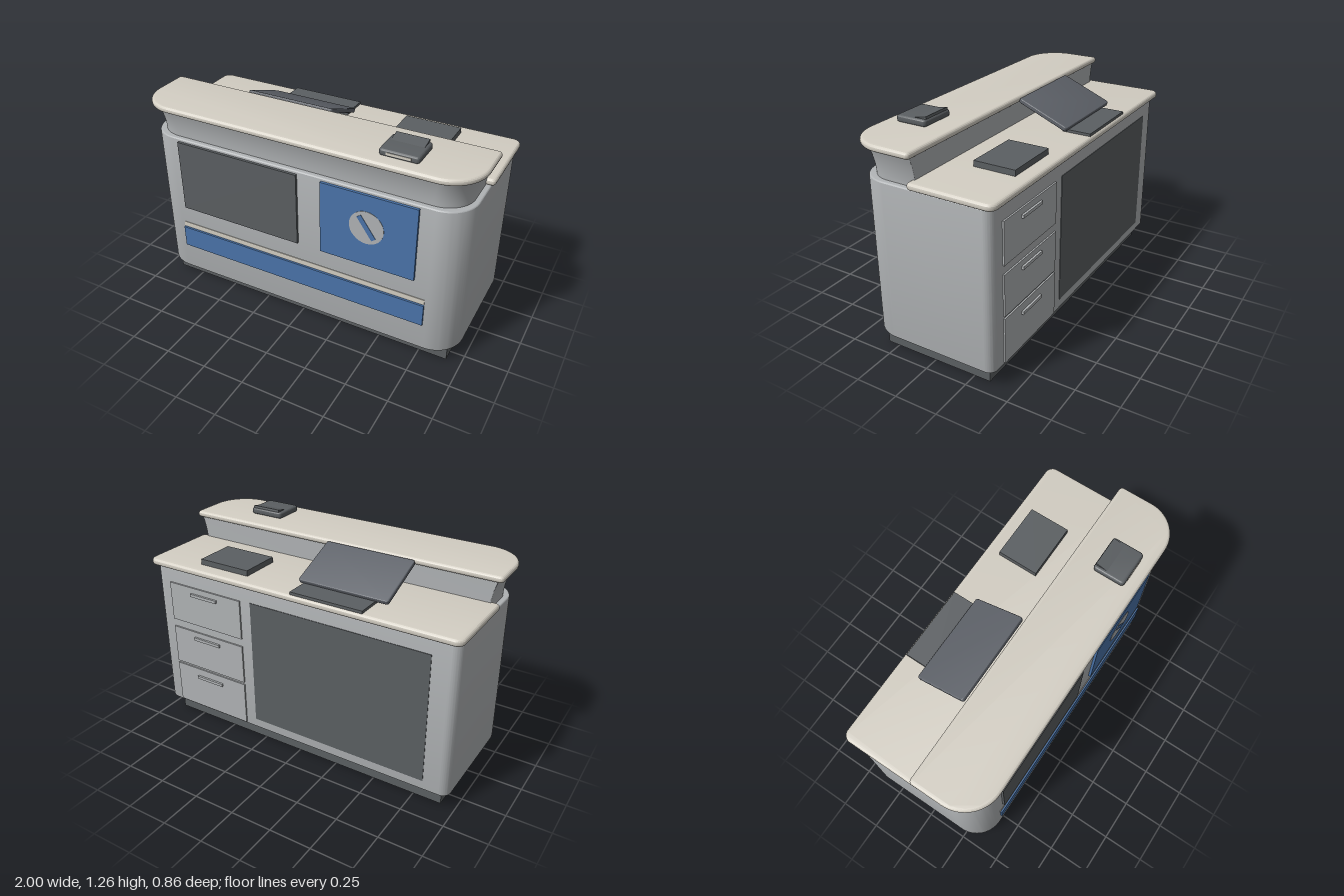
import * as THREE from 'three';
import { toCreasedNormals } from 'three/addons/utils/BufferGeometryUtils.js';

const flat = (name, color) => {
  const m = new THREE.MeshStandardMaterial({ color });
  m.name = name;
  return m;
};

export function createModel() {
  const model = new THREE.Group();
  model.name = 'serviceCounter';

  const grey = flat('cabinet grey', 0xb0b3b5);
  const cream = flat('worktop cream', 0xd3cec3);
  const blue = flat('panel blue', 0x4a74aa);
  const dark = flat('dark grey', 0x5b5f62);
  const slate = flat('screen slate', 0x5f636a);

  const add = (name, geometry, material, parent = model) => {
    const mesh = new THREE.Mesh(geometry, material);
    mesh.name = name;
    parent.add(mesh);
    return mesh;
  };

  // Box given by its limits on each axis
  const box = (name, material, [x0, x1], [y0, y1], [z0, z1], parent) => {
    const mesh = add(name, new THREE.BoxGeometry(x1 - x0, y1 - y0, z1 - z0), material, parent);
    mesh.position.set((x0 + x1) / 2, (y0 + y1) / 2, (z0 + z1) / 2);
    return mesh;
  };

  // Upright slab with its own corner radius at front and back, and a rounded rim
  const slab = (name, material, [x0, x1], [y0, y1], [z0, z1], front, back, rim, parent, steps = 1) => {
    const l = x0 + rim, r = x1 - rim, f = -z1 + rim, b = -z0 - rim;
    const s = new THREE.Shape();
    s.moveTo(l + front, f);
    s.lineTo(r - front, f);
    s.absarc(r - front, f + front, front, -Math.PI / 2, 0);
    s.lineTo(r, b - back);
    s.absarc(r - back, b - back, back, 0, Math.PI / 2);
    s.lineTo(l + back, b);
    s.absarc(l + back, b - back, back, Math.PI / 2, Math.PI);
    s.lineTo(l, f + front);
    s.absarc(l + front, f + front, front, Math.PI, Math.PI * 1.5);
    const g = new THREE.ExtrudeGeometry(s, {
      depth: y1 - y0 - 2 * rim, curveSegments: 8, steps, bevelEnabled: rim > 0,
      bevelThickness: rim, bevelSize: rim, bevelSegments: 4,
    });
    g.rotateX(-Math.PI / 2);
    g.translate(0, y0 + rim, 0);
    return add(name, toCreasedNormals(g, 0.25), material, parent);
  };

  // Open plinth frame under the cabinet
  const plinth = new THREE.Group();
  plinth.name = 'plinth';
  for (const x of [-0.915, 0.909]) box('plinthEnd', dark, [x, x + 0.006], [0, 0.1], [-0.345, 0.32], plinth);
  for (const z of [-0.345, 0.314]) box('plinthSide', dark, [-0.915, 0.915], [0, 0.1], [z, z + 0.006], plinth);
  model.add(plinth);

  // Cabinet and its stepped tops
  slab('cabinet', grey, [-0.97, 0.97], [0.095, 1.015], [-0.4, 0.397], 0.16, 0.04, 0.01);
  slab('worktop', cream, [-0.99, 0.99], [1.015, 1.055], [-0.433, 0.063], 0.004, 0.03, 0.018);
  slab('counterTop', cream, [-1, 1], [1.175, 1.213], [0.025, 0.43], 0.19, 0.004, 0.018);

  // Riser, flaring out in a shallow cove towards the counter top
  const riser = slab('riser', grey, [-0.97, 0.97], [1.01, 1.18], [0.04, 0.397], 0.17, 0.004, 0, model, 6);
  const p = riser.geometry.attributes.position;
  for (let i = 0; i < p.count; i++) {
    const t = (p.getY(i) - 1.01) / 0.17;
    const inset = 0.03 * (1 - t * t);
    p.setX(i, p.getX(i) * (1 - inset / 0.97));
    p.setZ(i, 0.04 + (p.getZ(i) - 0.04) * (1 - inset / 0.357));
  }
  riser.geometry = toCreasedNormals(riser.geometry, 0.6);

  // Front panels
  box('frontDarkPanel', dark, [-0.755, 0.02], [0.555, 0.998], [0.39, 0.412]);
  box('frontBluePanel', blue, [0.165, 0.72], [0.555, 0.998], [0.39, 0.412]);
  box('blueBand', blue, [-0.785, 0.785], [0.267, 0.402], [0.39, 0.408]);
  box('creamStrip', cream, [-0.785, 0.785], [0.41, 0.438], [0.39, 0.4]);
  const disc = add('roundPlate', new THREE.CylinderGeometry(0.1, 0.1, 0.004, 32), grey);
  disc.rotation.x = Math.PI / 2;
  disc.position.set(0.44, 0.8, 0.412);
  const bar = add('diagonalBar', new THREE.BoxGeometry(0.03, 0.155, 0.004), blue);
  bar.position.set(0.44, 0.8, 0.414);
  bar.rotation.z = 0.61;

  // Back: knee panel and a stack of drawers with handles
  box('backPanel', dark, [-0.825, 0.28], [0.155, 0.925], [-0.403, -0.39]);
  for (const [y0, y1, grip] of [[0.11, 0.375, 0.32], [0.39, 0.63, 0.588], [0.68, 0.92, 0.876]]) {
    const drawer = new THREE.Group();
    drawer.name = 'drawer';
    box('drawerFront', grey, [0.35, 0.865], [y0, y1], [-0.409, -0.39], drawer);
    box('drawerHandle', grey, [0.515, 0.705], [grip - 0.009, grip + 0.009], [-0.421, -0.405], drawer);
    model.add(drawer);
  }

  // Devices on the worktop
  box('flatDevice', dark, [0.33, 0.66], [1.05, 1.088], [-0.347, -0.105]);
  box('keyboard', dark, [-0.445, -0.005], [1.05, 1.07], [-0.42, -0.25]);
  const screen = slab('screen', slate, [-0.52, 0.027], [-0.0135, 0.0135], [-0.163, 0.163], 0.008, 0.008, 0.007);
  screen.position.set(0, 1.138, -0.137);
  screen.rotation.x = -Math.atan2(0.12, 0.29);

  // Card terminal on the counter top
  const terminal = new THREE.Group();
  terminal.name = 'cardTerminal';
  slab('terminalBase', dark, [0.462, 0.682], [1.211, 1.25], [0.167, 0.356], 0.006, 0.006, 0.014, terminal);
  const lid = box('terminalLid', dark, [0.482, 0.664], [1.242, 1.256], [0.172, 0.257], terminal);
  lid.rotation.x = 0.21;
  box('terminalSlot', cream, [0.505, 0.64], [1.224, 1.238], [0.35, 0.358], terminal);
  model.add(terminal);

  return model;
}
